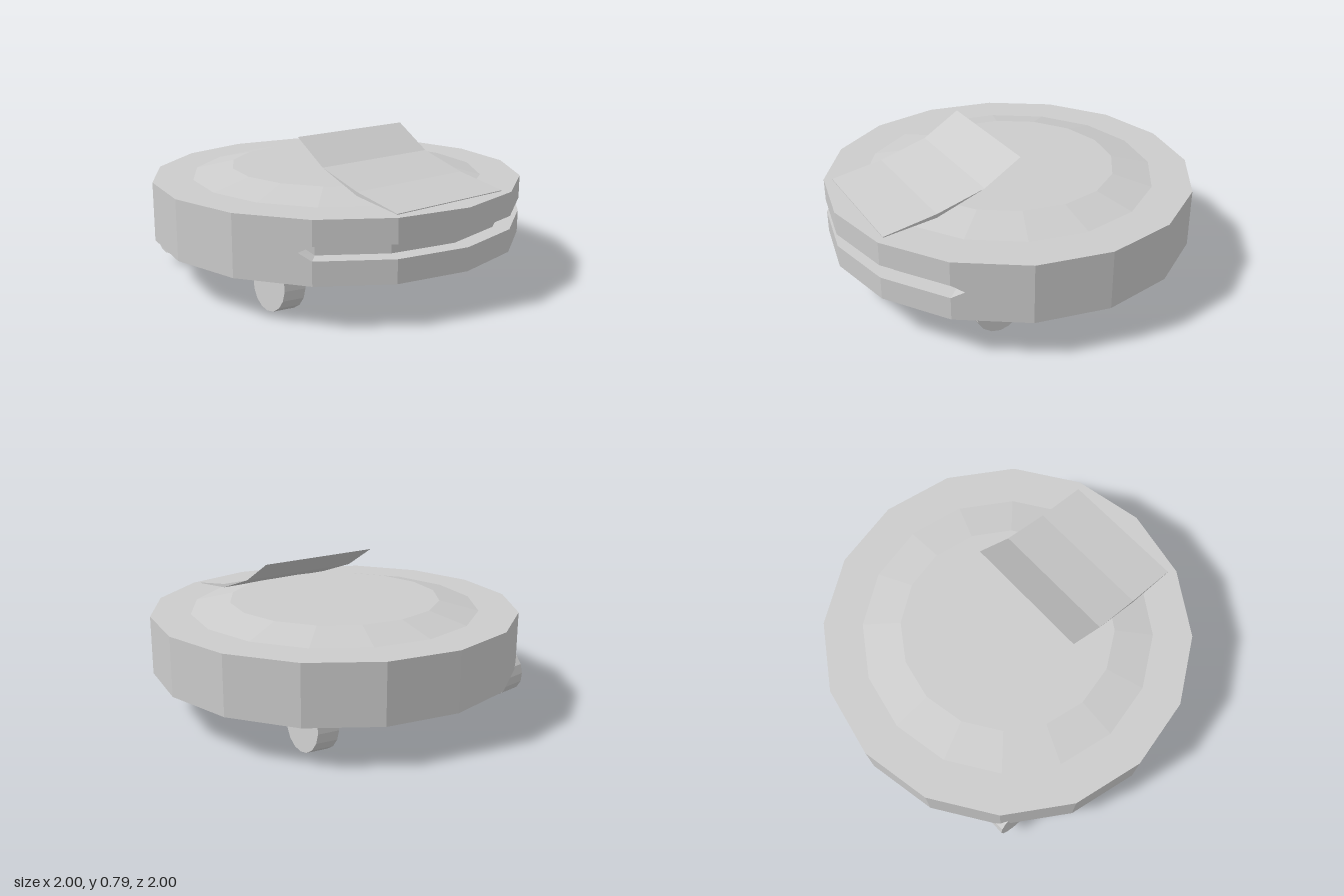
import * as THREE from 'three';

const SIDES = 16;
const TOP = 0.54, BOTTOM = 0.225;        // body height range
const SLOT_LOW = 0.345, SLOT_HIGH = 0.415; // front slot height range
const INSET = 0.91;                      // slot depth as a scale of the rim

const material = () =>
  new THREE.MeshStandardMaterial({ color: 0xcccccc, flatShading: true, side: THREE.DoubleSide });

// Collects flat polygons (counter-clockwise from outside) into one geometry
function polygonBuilder() {
  const positions = [];
  return {
    face(...p) {
      for (let i = 1; i < p.length - 1; i++) positions.push(...p[0], ...p[i], ...p[i + 1]);
    },
    build() {
      const geometry = new THREE.BufferGeometry();
      geometry.setAttribute('position', new THREE.Float32BufferAttribute(positions, 3));
      geometry.computeVertexNormals();
      return geometry;
    },
  };
}

function addMesh(group, name, geometry) {
  const mesh = new THREE.Mesh(geometry, material());
  mesh.name = name;
  group.add(mesh);
  return mesh;
}

// Sixteen-sided disc with a slot cut across the four front facets
function bodyGeometry() {
  const { face, build } = polygonBuilder();
  const rim = (i) => [Math.sin((i / SIDES) * Math.PI * 2), Math.cos((i / SIDES) * Math.PI * 2)];
  const at = ([x, z], y, s = 1) => [x * s, y, z * s];
  const slotMid = (SLOT_LOW + SLOT_HIGH) / 2;

  for (let i = -8; i < 8; i++) {
    const a = rim(i), b = rim(i + 1);
    // caps
    face([0, TOP, 0], at(a, TOP), at(b, TOP));
    face([0, BOTTOM, 0], at(b, BOTTOM), at(a, BOTTOM));

    if (i >= -2 && i < 2) {
      // slotted facets: strips above and below, then the recess
      face(at(a, SLOT_HIGH), at(b, SLOT_HIGH), at(b, TOP), at(a, TOP));
      face(at(a, BOTTOM), at(b, BOTTOM), at(b, SLOT_LOW), at(a, SLOT_LOW));
      face(at(a, SLOT_LOW, INSET), at(b, SLOT_LOW, INSET), at(b, SLOT_HIGH, INSET), at(a, SLOT_HIGH, INSET));
      face(at(a, SLOT_LOW), at(b, SLOT_LOW), at(b, SLOT_LOW, INSET), at(a, SLOT_LOW, INSET));
      face(at(a, SLOT_HIGH, INSET), at(b, SLOT_HIGH, INSET), at(b, SLOT_HIGH), at(a, SLOT_HIGH));
    } else if (i === 2 || i === -3) {
      // facets holding the pointed slot ends
      const [near, far] = i === 2 ? [a, b] : [b, a];
      const put = (...p) => face(...(i === 2 ? p : p.reverse()));
      const tip = near.map((v, k) => v + (far[k] - v) * 0.175);
      const t = at(tip, slotMid), ti = at(tip, slotMid, INSET);
      put(t, at(far, TOP), at(near, TOP), at(near, SLOT_HIGH));
      put(t, at(near, SLOT_LOW), at(near, BOTTOM), at(far, BOTTOM));
      put(t, at(far, BOTTOM), at(far, TOP));
      put(at(near, SLOT_LOW, INSET), ti, at(near, SLOT_HIGH, INSET));
      put(at(near, SLOT_LOW), t, ti, at(near, SLOT_LOW, INSET));
      put(at(near, SLOT_HIGH, INSET), ti, t, at(near, SLOT_HIGH));
    } else {
      face(at(a, BOTTOM), at(b, BOTTOM), at(b, TOP), at(a, TOP));
    }
  }
  return build();
}

// Bent panel: a thin upper sheet and a slightly thick lower part
function flapGeometry() {
  const { face, build } = polygonBuilder();
  const half = 0.355;
  const upper = [[0.13, 0.79], [0.335, 0.665], [0.6, 0.592], [0.885, 0.545]]; // z, y
  const lower = [[0.335, 0.665], [0.6, 0.572], [0.885, 0.541]];
  const L = ([z, y]) => [-half, y, z];
  const R = ([z, y]) => [half, y, z];

  for (let i = 0; i < 3; i++) face(L(upper[i]), L(upper[i + 1]), R(upper[i + 1]), R(upper[i]));
  for (let i = 0; i < 2; i++) {
    const [u0, u1, l0, l1] = [upper[i + 1], upper[i + 2], lower[i], lower[i + 1]];
    face(L(l0), R(l0), R(l1), L(l1));
    face(R(u0), R(u1), R(l1), R(l0));
    face(L(u0), L(l0), L(l1), L(u1));
  }
  face(L(lower[2]), R(lower[2]), R(upper[3]), L(upper[3]));
  return build();
}

export function createModel() {
  const group = new THREE.Group();
  group.name = 'floorRobot';

  addMesh(group, 'body', bodyGeometry());

  // shallow bevelled lid
  const lid = addMesh(group, 'lid', new THREE.CylinderGeometry(0.575, 0.787, 0.05, SIDES));
  lid.position.y = TOP + 0.025;

  addMesh(group, 'frontFlap', flapGeometry());

  // round pad under the body
  const pad = addMesh(group, 'bottomPad', new THREE.CylinderGeometry(0.36, 0.36, 0.08, SIDES));
  pad.position.y = 0.19;

  // wheels, splayed outward at the bottom
  const wheelGeometry = new THREE.CylinderGeometry(0.13, 0.13, 0.122, SIDES).rotateZ(Math.PI / 2);
  const wheels = [
    ['frontLeftWheel', 0.565, 0.135, 0.405],
    ['frontRightWheel', -0.678, 0.152, 0.405],
    ['backLeftWheel', 0.565, 0.175, -0.595],
    ['backRightWheel', -0.678, 0.19, -0.6],
  ];
  for (const [name, x, y, z] of wheels) {
    const wheel = addMesh(group, name, wheelGeometry);
    wheel.position.set(x, y, z);
    wheel.rotation.z = Math.sign(x) * 0.08;
  }

  return group;
}
